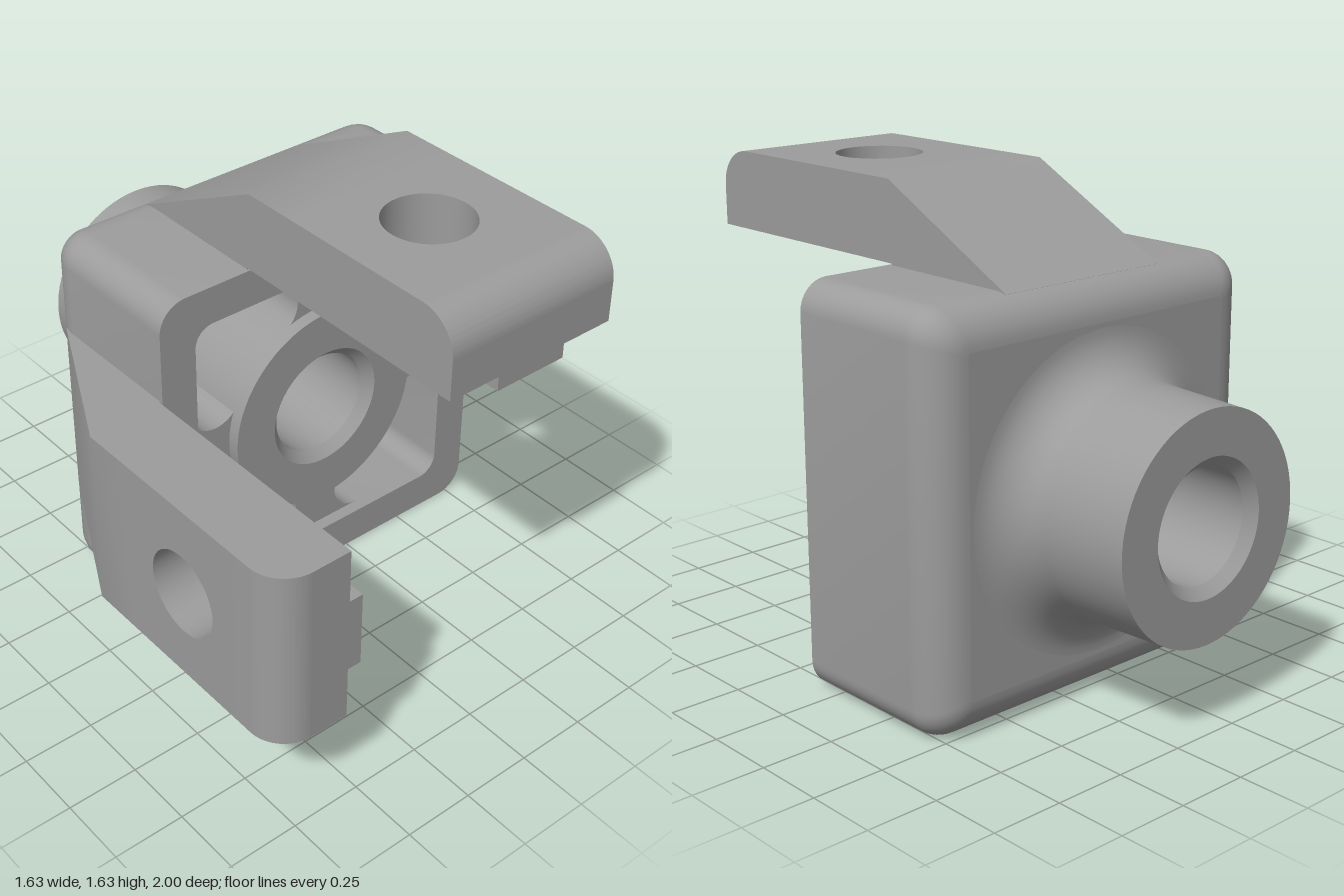
import * as THREE from 'three';
import { toCreasedNormals } from 'three/addons/utils/BufferGeometryUtils.js';

const HALF = 0.68, FILLET = 0.13, FRONT = 0.09, BACK = -0.545, FLOOR = -0.41;
const ARM_W = 0.655, ARM_TOP = 0.955, HOLE_Z = 0.545, HOLE_R = 0.15;

const grey = new THREE.MeshStandardMaterial({ color: 0x9c9c9c });
grey.name = 'grey';

function mesh(name, geometry) {
  const m = new THREE.Mesh(toCreasedNormals(geometry, 0.5), grey);
  m.name = name;
  return m;
}

// Counter-clockwise outline of a rounded square
function roundedSquare(h, r, n = 8) {
  const pts = [];
  for (let c = 0; c < 4; c++) {
    const sx = c === 0 || c === 3 ? 1 : -1, sy = c < 2 ? 1 : -1;
    for (let k = 0; k <= n; k++) {
      const a = (c + k / n) * Math.PI / 2;
      pts.push(new THREE.Vector2(sx * (h - r) + r * Math.cos(a), sy * (h - r) + r * Math.sin(a)));
    }
  }
  return pts;
}

function extrude(shape, depth) {
  return new THREE.ExtrudeGeometry(shape, { depth, bevelEnabled: false, curveSegments: 24 });
}

function circleHole(x, y, r) {
  return new THREE.Path().absarc(x, y, r, 0, Math.PI * 2, true);
}

// Rounded back edge, lofted through shrinking outlines
function backEdge() {
  const pos = [], idx = [], steps = 10;
  let n = 0;
  for (let i = 0; i <= steps; i++) {
    const a = (i / steps) * Math.PI / 2;
    const inset = FILLET * (1 - Math.cos(a));
    const ring = roundedSquare(HALF - inset, 0.1 - 0.09 * inset / FILLET);
    n = ring.length;
    for (const p of ring) pos.push(p.x, p.y, BACK + FILLET * (1 - Math.sin(a)));
  }
  for (let i = 0; i < steps; i++) {
    for (let j = 0; j < n; j++) {
      const a = i * n + j, b = i * n + (j + 1) % n;
      idx.push(a, a + n, b, b, a + n, b + n);
    }
  }
  const g = new THREE.BufferGeometry();
  g.setAttribute('position', new THREE.Float32BufferAttribute(pos, 3));
  g.setIndex(idx);
  g.computeVertexNormals();
  return g;
}

function housing() {
  const group = new THREE.Group();
  group.name = 'housing';

  // Side walls around the pocket
  const wall = new THREE.Shape(roundedSquare(HALF, 0.1));
  wall.holes.push(new THREE.Path(roundedSquare(0.545, 0.07).reverse()));
  const depth = FRONT - (BACK + FILLET);
  group.add(mesh('walls', extrude(wall, depth).translate(0, 0, BACK + FILLET)));

  group.add(mesh('roundedBackEdge', backEdge()));

  const back = new THREE.Shape(roundedSquare(HALF - FILLET, 0.01));
  back.holes.push(circleHole(0, 0, 0.53));
  group.add(mesh('backFace', new THREE.ShapeGeometry(back, 32).rotateY(Math.PI).translate(0, 0, BACK)));

  const floor = new THREE.Shape(roundedSquare(0.56, 0.07));
  floor.holes.push(circleHole(0, 0, 0.37));
  group.add(mesh('pocketFloor', new THREE.ShapeGeometry(floor, 32).translate(0, 0, FLOOR)));

  // Four waisted ribs from the hub to the walls
  const rib = new THREE.Shape();
  const tip = Math.atan2(-0.44, 0.195);
  rib.moveTo(-0.195, 0.56);
  rib.lineTo(-0.195, 0.545);
  rib.absarc(-0.195, 0.44, 0.105, Math.PI / 2, tip, true);
  rib.absarc(0.195, 0.44, 0.105, Math.PI - tip, Math.PI / 2, true);
  rib.lineTo(0.195, 0.56);
  for (let i = 0; i < 4; i++) {
    const m = mesh('pocketRib', extrude(rib, 0.045 - FLOOR).translate(0, 0, FLOOR));
    m.rotation.z = i * Math.PI / 2;
    group.add(m);
  }
  return group;
}

// Hub and rear spigot with a chamfered through bore
function hub() {
  const p = [[0.225, -1], [0.375, -1]];
  for (let i = 0; i <= 12; i++) {
    const a = Math.PI - (i / 12) * Math.PI / 2;
    p.push([0.535 + 0.15 * Math.cos(a), -0.695 + 0.15 * Math.sin(a)]);
  }
  p.push([0.385, -0.5], [0.385, FRONT], [0.225, FRONT], [0.19, 0.055], [0.19, -0.965], [0.225, -1]);
  const g = new THREE.LatheGeometry(p.map(([r, z]) => new THREE.Vector2(r, z)), 72);
  return mesh('hubAndSpigot', g.rotateX(Math.PI / 2));
}

// Side profile (z, y) swept across the arm width
function profile(shape) {
  return extrude(shape, ARM_W).translate(0, 0, -ARM_W / 2).rotateY(-Math.PI / 2);
}

// Plan outline (x, z) dropped from y = top
function plan(shape, top, height) {
  return extrude(shape, height).rotateX(Math.PI / 2).translate(0, top, 0);
}

function arm(name) {
  const group = new THREE.Group();
  group.name = name;
  const v = (x, y) => new THREE.Vector2(x, y);
  const w = ARM_W / 2;

  // Sloping root
  const root = new THREE.Shape([
    v(0.3, HALF + 0.005), v(0.3, ARM_TOP), v(FRONT, ARM_TOP), v(-0.46, 0.675),
    v(-0.42, 0.66), v(0.08, 0.66), v(0.08, HALF + 0.005)]);
  group.add(mesh('armRoot', profile(root)));

  // Middle with the cross hole
  const middle = new THREE.Shape([v(-w, 0.3), v(w, 0.3), v(w, 0.8), v(-w, 0.8)]);
  middle.holes.push(circleHole(0, HOLE_Z, HOLE_R));
  group.add(mesh('armMiddle', plan(middle, ARM_TOP, ARM_TOP - 0.685)));

  // Rounded end
  const end = new THREE.Shape();
  end.moveTo(0.8, 0.685);
  end.lineTo(1, 0.685);
  end.absarc(0.87, ARM_TOP - 0.13, 0.13, 0, Math.PI / 2, false);
  end.lineTo(0.8, ARM_TOP);
  group.add(mesh('armEnd', profile(end)));

  // Inner key, cut in two by the hole
  const k = 0.135, a = Math.acos(k / HOLE_R);
  const rear = new THREE.Shape();
  rear.moveTo(-k, 0.08);
  rear.lineTo(k, 0.08);
  rear.absarc(0, HOLE_Z, HOLE_R, -a, -Math.PI + a, true);
  const front = new THREE.Shape();
  front.moveTo(k, 1);
  front.lineTo(-k, 1);
  front.absarc(0, HOLE_Z, HOLE_R, Math.PI - a, a, true);
  for (const s of [rear, front]) group.add(mesh('armKey', plan(s, 0.685, 0.05)));
  return group;
}

export function createModel() {
  const model = new THREE.Group();
  model.name = 'bracket';
  const sideArm = arm('sideArm');
  sideArm.rotation.z = Math.PI / 2;
  model.add(housing(), hub(), arm('topArm'), sideArm);
  model.position.set(0.135, 0.683, 0);
  const root = new THREE.Group();
  root.name = 'doubleArmBracket';
  root.add(model);
  return root;
}
